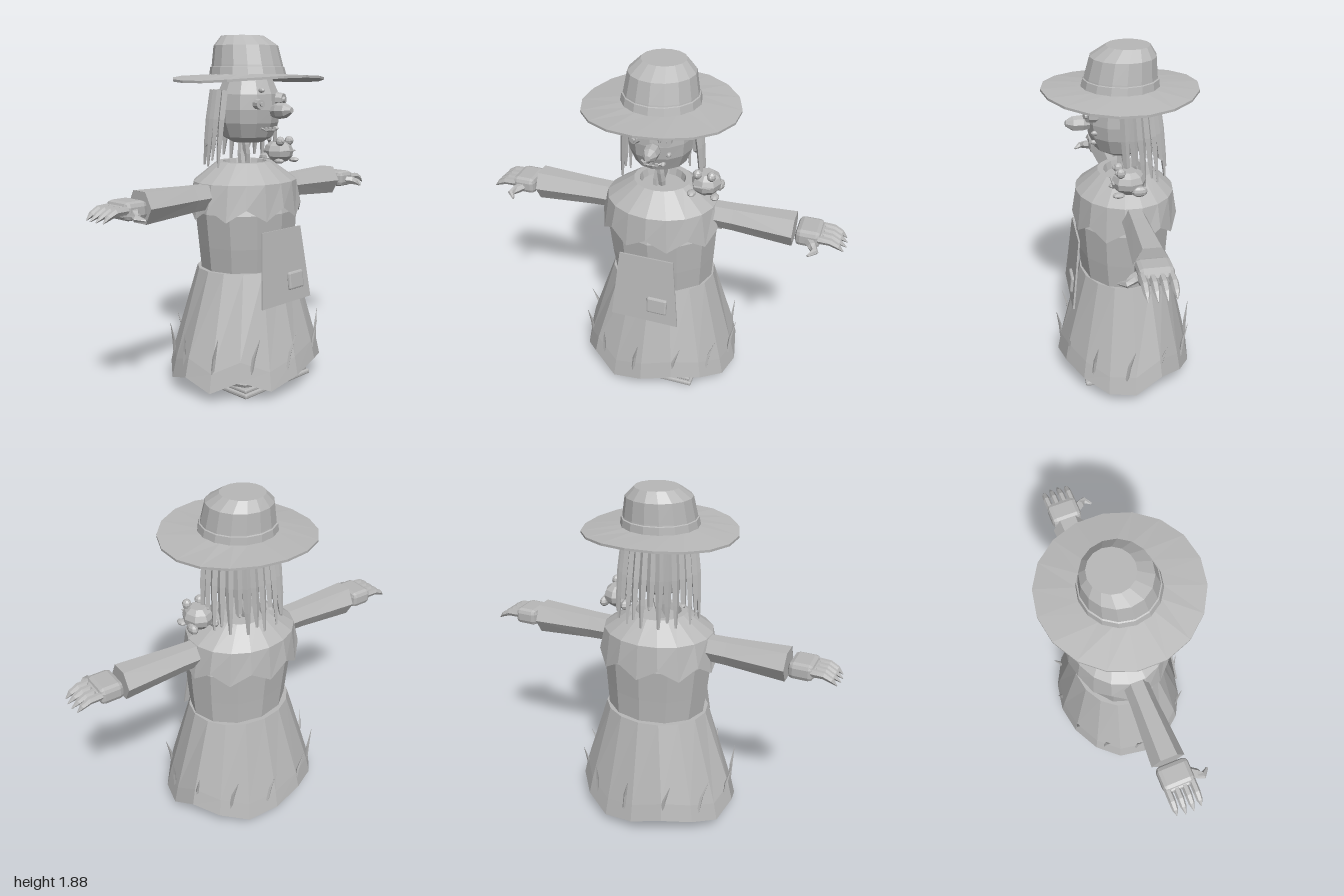
import * as THREE from 'three';
import { RoundedBoxGeometry } from 'three/addons/geometries/RoundedBoxGeometry.js';

const V = (x, y, z) => new THREE.Vector3(x, y, z);
const TAU = Math.PI * 2;

// Skin a list of rings (each a loop of points), with optional end caps
function skin(rings, capStart, capEnd) {
  const pos = [], tri = (...p) => p.forEach((q) => pos.push(q.x, q.y, q.z));
  const n = rings[0].length;
  for (let i = 0; i < rings.length - 1; i++) {
    for (let j = 0; j < n; j++) {
      const k = (j + 1) % n, a = rings[i], b = rings[i + 1];
      tri(a[j], a[k], b[k]);
      tri(a[j], b[k], b[j]);
    }
  }
  const first = rings[0], last = rings[rings.length - 1];
  for (let j = 1; j < n - 1; j++) {
    if (capStart) tri(first[0], first[j + 1], first[j]);
    if (capEnd) tri(last[0], last[j], last[j + 1]);
  }
  const g = new THREE.BufferGeometry();
  g.setAttribute('position', new THREE.Float32BufferAttribute(pos, 3));
  g.computeVertexNormals();
  return g;
}

// Stacked ellipses [y or y(j), rx, rz, cx, cz], running around from the front
function loft(n, rings, capStart, capEnd) {
  return skin(rings.map(([y, rx, rz, cx = 0, cz = 0]) =>
    Array.from({ length: n }, (_, j) => {
      const t = (j / n) * TAU;
      return V(cx + rx * Math.sin(t), typeof y === 'function' ? y(j) : y, cz + rz * Math.cos(t));
    })), capStart, capEnd);
}

// Faceted limb along points; radii are [across, along ref]
function limb(points, radii, sides, ref, open) {
  const rings = points.map((p, i) => {
    const t = points[Math.min(i + 1, points.length - 1)].clone()
      .sub(points[Math.max(i - 1, 0)]).normalize();
    const u = t.clone().cross(ref).normalize(), v = t.clone().cross(u);
    return Array.from({ length: sides }, (_, j) => {
      const a = (j / sides) * TAU;
      return p.clone().addScaledVector(u, radii[i][0] * Math.cos(a))
        .addScaledVector(v, radii[i][1] * Math.sin(a));
    });
  });
  return skin(rings, !open, !open);
}

function flat(geo) {
  const g = geo.index ? geo.toNonIndexed() : geo;
  g.computeVertexNormals();
  return g;
}

export function createModel() {
  const cloth = new THREE.MeshStandardMaterial({ color: 0xb8b8b8, side: THREE.DoubleSide });
  cloth.name = 'plain grey';
  const root = new THREE.Group();
  root.name = 'scarecrow';
  const add = (name, geo, parent = root) => {
    const m = new THREE.Mesh(geo, cloth);
    m.name = name;
    parent.add(m);
    return m;
  };
  const group = (name, parent = root) => {
    const g = new THREE.Group();
    g.name = name;
    parent.add(g);
    return g;
  };
  const blob = (name, x, y, z, rx, ry, rz, parent = root) => {
    const m = add(name, flat(new THREE.SphereGeometry(1, 8, 6)), parent);
    m.position.set(x, y, z);
    m.scale.set(rx, ry, rz);
    return m;
  };
  const box = (name, w, h, d, r, x, y, z, parent = root) => {
    const m = add(name, flat(new RoundedBoxGeometry(w, h, d, 1, r)), parent);
    m.position.set(x, y, z);
    return m;
  };

  // Skirt with ragged hem
  const hem = [0.1, 0.14, 0.11, 0.06, 0.06, 0.14, 0.1, 0.05, 0.08, 0.12, 0.1, 0.06, 0.11, 0.05, 0.12, 0.05];
  add('skirt', loft(16, [
    [0.63, 0.27, 0.23, 0.01, -0.02],
    [(j) => hem[j] + 0.01, 0.435, 0.365, 0, -0.015],
    [(j) => hem[j], 0.455, 0.385, 0, -0.015],
    [(j) => hem[j] + 0.1, 0.432, 0.365, 0, -0.015],
    [0.65, 0.29, 0.25, 0.01, -0.02],
    [0.65, 0.26, 0.22, 0.01, -0.02],
  ]));

  // Bodice
  add('bodice', loft(12, [
    [0.63, 0.275, 0.232, 0.015, -0.015],
    [0.78, 0.29, 0.245, 0.01, -0.01],
    [0.96, 0.305, 0.258, 0.005, -0.01],
    [1.08, 0.27, 0.22, 0, -0.015],
  ], true, true));

  // Shoulder cape with zigzag edge and sunken collar
  const zig = (j) => (j % 2 ? 0.93 : 0.995);
  add('cape', loft(18, [
    [1.04, 0.29, 0.25, 0, -0.02],
    [(j) => zig(j) + 0.01, 0.315, 0.27, 0, -0.02],
    [zig, 0.33, 0.283, 0, -0.02],
    [1.12, 0.3, 0.262, 0, -0.02],
    [1.22, 0.155, 0.147, 0, -0.025],
    [1.22, 0.125, 0.115, 0, -0.025],
    [1.18, 0.115, 0.105, 0, -0.025],
  ], false, true));

  // Apron and its patch share one tilted frame
  const apron = group('apron');
  const panel = new THREE.Shape([[-0.19, -0.197], [0.19, -0.197], [0.15, 0.197], [-0.15, 0.197]]
    .map(([x, y]) => new THREE.Vector2(x, y)));
  add('apronPanel', new THREE.ExtrudeGeometry(panel, { depth: 0.01, bevelEnabled: false }), apron);
  box('apronPatch', 0.115, 0.095, 0.024, 0.01, 0.072, -0.085, 0.014, apron);
  apron.position.set(0, 0.68, 0.262);
  apron.rotation.x = -0.113;

  // Straw poking out of the skirt
  const straw = group('skirtStraw');
  for (let i = 0; i < 12; i++) {
    const t = (i / 12) * TAU - 0.08;
    const out = V(Math.sin(t), 0, Math.cos(t)), side = V(Math.cos(t), 0, -Math.sin(t));
    const at = (r, y, s) => V(out.x * r * 1.17, y, out.z * r - 0.015).addScaledVector(side, s);
    add('straw', limb([at(0.362, 0.14, -0.02), at(0.368, 0.24, -0.005), at(0.385, 0.345, 0.025)],
      [[0.009, 0.008], [0.01, 0.008], [0.001, 0.001]], 4, out), straw);
  }

  // Arms: flared sleeve, palm, fingers, thumb
  const up = V(0, 1, 0);
  for (const s of [1, -1]) {
    const arm = group(s > 0 ? 'leftArm' : 'rightArm');
    arm.scale.x = s;
    add('sleeve', limb([V(0.2, 1.055, -0.025), V(0.4, 1.054, -0.025), V(0.72, 1.05, -0.025)],
      [[0.066, 0.07], [0.07, 0.075], [0.09, 0.092]], 6, up, true), arm);
    add('sleeveLining', limb([V(0.6, 1.05, -0.025), V(0.72, 1.05, -0.025)],
      [[0.04, 0.04], [0.089, 0.091]], 6, up), arm);
    box('palm', 0.13, 0.09, 0.17, 0.025, 0.8, 1.052, -0.02, arm);
    box('wrist', 0.06, 0.06, 0.12, 0.015, 0.845, 1.05, -0.02, arm);
    for (let i = 0; i < 4; i++) {
      const z = -0.085 + i * 0.044, len = i === 0 || i === 3 ? 0.985 : 0.995;
      add('finger', limb([V(0.85, 1.06, z), V(0.915, 1.058, z), V(0.955, 1.04, z), V(len, 1.015, z)],
        [[0.019, 0.022], [0.019, 0.02], [0.016, 0.015], [0.002, 0.002]], 6, up), arm);
    }
    add('thumb', limb([V(0.8, 1.045, 0.04), V(0.83, 1.04, 0.085), V(0.85, 1.03, 0.115), V(0.82, 1.02, 0.15)],
      [[0.025, 0.025], [0.025, 0.024], [0.02, 0.018], [0.006, 0.006]], 6, up), arm);
  }

  // Legs and boots
  for (const s of [1, -1]) {
    const leg = group(s > 0 ? 'leftLeg' : 'rightLeg');
    leg.position.x = s * 0.163;
    add('shin', loft(8, [[0.1, 0.05, 0.05, 0, -0.04], [0.16, 0.058, 0.058, 0, -0.04],
      [0.2, 0.045, 0.045, 0, -0.04], [0.62, 0.055, 0.055, 0, -0.04]], true, true), leg);
    box('sole', 0.195, 0.025, 0.37, 0.008, 0, 0.0125, 0.055, leg);
    box('welt', 0.17, 0.02, 0.34, 0.006, 0, 0.033, 0.055, leg);
    box('heel', 0.15, 0.09, 0.2, 0.025, 0, 0.078, -0.02, leg);
    blob('toe', 0, 0.06, 0.13, 0.093, 0.05, 0.1, leg);
  }

  // Neck of twisted sticks
  const neck = group('neck');
  for (let i = 0; i < 3; i++) {
    const pts = [0, 1, 2, 3, 4].map((k) => {
      const a = (i / 3) * TAU + k * 0.7;
      return V(-0.02 + k * 0.006 + 0.018 * Math.cos(a), 1.16 + k * 0.05, -0.02 + 0.018 * Math.sin(a));
    });
    add('neckStick', limb(pts, pts.map(() => [0.02, 0.02]), 5, V(0, 0, 1)), neck);
  }

  // Head and face
  const head = group('head');
  add('skull', loft(12, [[1.325, 0.08, 0.08], [1.355, 0.135, 0.135], [1.43, 0.165, 0.168],
    [1.5, 0.172, 0.177], [1.58, 0.165, 0.17], [1.67, 0.125, 0.13]], true, true), head);
  const disc = (name, x, y, z, r, depth) => {
    const m = add(name, flat(new THREE.CylinderGeometry(r * 0.8, r, depth, 10)), head);
    m.position.set(x, y, z);
    m.rotation.set(Math.PI / 2, 0, -x * 4);
    return m;
  };
  disc('rightEye', -0.08, 1.53, 0.155, 0.031, 0.05);
  disc('rightPupil', -0.083, 1.53, 0.18, 0.014, 0.02);
  disc('leftEye', 0.075, 1.55, 0.16, 0.042, 0.05);
  disc('leftPupil', 0.078, 1.55, 0.188, 0.018, 0.02);
  add('nose', limb([V(0.015, 1.49, 0.15), V(0.022, 1.495, 0.2), V(0.026, 1.497, 0.25), V(0.028, 1.5, 0.287)],
    [[0.028, 0.028], [0.042, 0.042], [0.038, 0.038], [0.015, 0.015]], 8, up), head);
  for (const [x, y, z] of [[-0.06, 1.6, 0.155], [0.09, 1.46, 0.145], [0.06, 1.4, 0.145]]) {
    blob('stud', x, y, z, 0.013, 0.013, 0.02, head);
  }
  add('mouth', limb([V(-0.055, 1.405, 0.148), V(-0.025, 1.392, 0.162), V(0.025, 1.392, 0.162), V(0.055, 1.405, 0.148)],
    Array(4).fill([0.006, 0.006]), 5, up), head);
  for (const x of [-0.03, 0, 0.03]) box('tooth', 0.016, 0.02, 0.01, 0.002, x, 1.4, 0.163, head);

  // Hanging straw hair around the back and sides
  const hair = group('hair');
  const count = 17;
  for (let i = 0; i < count; i++) {
    const t = THREE.MathUtils.degToRad(86 + (188 * i) / (count - 1));
    const out = V(Math.sin(t), 0, Math.cos(t));
    const at = (r, y, z) => V(out.x * r, y, out.z * r + z);
    const end = 1.2 + 0.035 * ((i * 7) % 4) * (i % 2);
    add('hairStrand', limb([at(0.185, 1.6, 0), at(0.205, 1.45, -0.005), at(0.215, 1.32, -0.012), at(0.222, end, -0.018)],
      [[0.023, 0.018], [0.021, 0.017], [0.016, 0.013], [0.007, 0.006]], 4, out), hair);
  }

  // Hat: wavy brim, band and leaning crown
  const hat = group('hat');
  const wave = (dy) => (j) => 1.657 + dy + 0.014 * Math.cos((j / 18) * TAU * 2);
  add('brim', loft(18, [[1.665, 0.12, 0.12], [1.66, 0.2, 0.2], [wave(-0.006), 0.403, 0.403],
    [wave(0.006), 0.403, 0.403], [1.682, 0.2, 0.2]]), hat);
  add('hatBand', loft(16, [[1.67, 0.207, 0.205], [1.72, 0.198, 0.196, 0, -0.004],
    [1.725, 0.185, 0.185, 0, -0.004]]), hat);
  add('crown', loft(16, [[1.66, 0.2, 0.2], [1.73, 0.19, 0.188, 0, -0.004], [1.83, 0.172, 0.17, 0, -0.015],
    [1.882, 0.115, 0.113, 0, -0.04]], true, true), hat);

  // Little frog on the left shoulder
  const frog = group('frog');
  frog.position.set(0.247, 1.2, 0);
  add('frogBody', loft(8, [[0.0, 0.05, 0.05], [0.03, 0.075, 0.082], [0.06, 0.08, 0.088],
    [0.09, 0.068, 0.075], [0.112, 0.04, 0.045]], true, true), frog);
  box('frogMouth', 0.09, 0.008, 0.012, 0.002, 0, 0.062, 0.082, frog);
  for (const s of [1, -1]) {
    blob('frogEye', s * 0.037, 0.115, 0.045, 0.025, 0.027, 0.025, frog);
    blob('frogPupil', s * 0.037, 0.117, 0.067, 0.011, 0.012, 0.008, frog);
    blob('frogFoot', s * 0.062, 0.008, 0.06, 0.024, 0.014, 0.032, frog);
    blob('frogThigh', s * 0.062, 0.022, -0.045, 0.024, 0.028, 0.042, frog);
  }
  return root;
}
